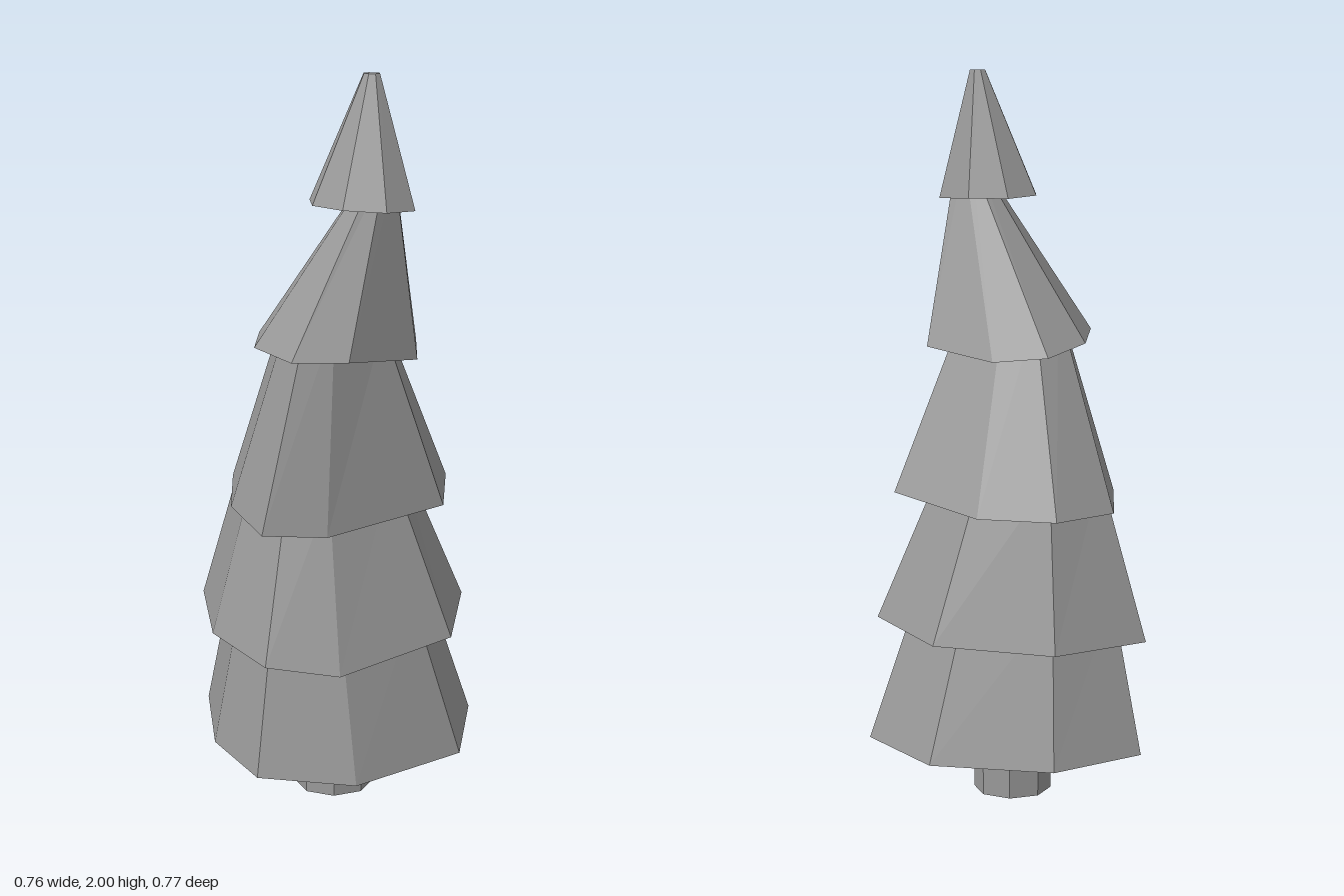
import * as THREE from 'three';

// Each tier: skirt corners [x, y, z] counter-clockwise from the front,
// and the extents [xMin, xMax, zMin, zMax] of its narrower upper ring.
const TIERS = [
  { skirt: [[-0.11, 0.145, 0.385], [0.23, 0.155, 0.312], [0.38, 0.175, 0.06], [0.29, 0.17, -0.215],
    [-0.01, 0.165, -0.365], [-0.28, 0.17, -0.31], [-0.38, 0.175, 0.025], [-0.35, 0.165, 0.275]],
    neck: [-0.3, 0.225, -0.255, 0.29] },
  { skirt: [[-0.145, 0.45, 0.357], [0.22, 0.48, 0.27], [0.357, 0.52, 0.05], [0.28, 0.5, -0.22],
    [-0.005, 0.49, -0.385], [-0.285, 0.49, -0.325], [-0.378, 0.49, 0.015], [-0.33, 0.48, 0.29]],
    neck: [-0.24, 0.17, -0.263, 0.2] },
  { skirt: [[-0.145, 0.81, 0.27], [0.22, 0.84, 0.21], [0.312, 0.87, 0.03], [0.163, 0.84, -0.24],
    [-0.02, 0.84, -0.352], [-0.205, 0.84, -0.285], [-0.315, 0.84, 0], [-0.31, 0.82, 0.22]],
    neck: [-0.172, 0.085, -0.09, 0.22] },
  { skirt: [[-0.09, 1.28, 0.285], [0.143, 1.25, 0.2], [0.217, 1.265, 0.03], [0.09, 1.24, -0.15],
    [-0.04, 1.255, -0.225], [-0.172, 1.28, -0.15], [-0.268, 1.29, 0.065], [-0.228, 1.28, 0.23]],
    neck: [0.03, 0.095, 0.12, 0.185] },
  { skirt: [[0.02, 1.66, 0.272], [0.115, 1.655, 0.24], [0.147, 1.655, 0.14], [0.097, 1.66, 0.035],
    [0, 1.66, -0.012], [-0.09, 1.665, 0.017], [-0.122, 1.665, 0.115], [-0.08, 1.665, 0.218]],
    neck: [0.023, 0.065, 0.097, 0.139] },
];

// Remap a skirt into its neck extents; the neck tucks up inside the next skirt.
function neckRing({ skirt, neck }, nextSkirt) {
  const fit = (axis, lo, hi) => {
    const v = skirt.map((p) => p[axis]);
    const min = Math.min(...v), max = Math.max(...v);
    return (n) => lo + ((n - min) / (max - min)) * (hi - lo);
  };
  const fx = fit(0, neck[0], neck[1]);
  const fz = fit(2, neck[2], neck[3]);
  return skirt.map(([x, , z], i) => [fx(x), nextSkirt ? nextSkirt[i][1] + 0.1 : 2, fz(z)]);
}

// Shrink a ring almost to its centre to close an end.
function closingRing(ring) {
  const c = [0, 1, 2].map((a) => ring.reduce((s, p) => s + p[a], 0) / ring.length);
  return ring.map((p) => p.map((v, a) => c[a] + (v - c[a]) * 0.02));
}

// Faceted surface through a list of rings.
function loft(rings) {
  const pos = [];
  for (let r = 0; r < rings.length - 1; r++) {
    const lo = rings[r], hi = rings[r + 1], n = lo.length;
    for (let i = 0; i < n; i++) {
      const j = (i + 1) % n;
      pos.push(...lo[i], ...lo[j], ...hi[j], ...lo[i], ...hi[j], ...hi[i]);
    }
  }
  const g = new THREE.BufferGeometry();
  g.setAttribute('position', new THREE.Float32BufferAttribute(pos, 3));
  g.computeVertexNormals();
  return g;
}

export function createModel() {
  const tree = new THREE.Group();
  tree.name = 'tree';
  const material = new THREE.MeshStandardMaterial({ color: 0x999999, flatShading: true });

  // Trunk
  const trunk = new THREE.Mesh(new THREE.CylinderGeometry(0.108, 0.108, 0.2, 8), material);
  trunk.name = 'trunk';
  trunk.position.set(-0.025, 0.1, 0.025);
  trunk.rotation.y = Math.PI / 8;
  tree.add(trunk);

  // Foliage tiers: hollow underside, sloping skirt, and closed tip on the last one
  let below = null;
  TIERS.forEach((tier, k) => {
    const top = neckRing(tier, TIERS[k + 1]?.skirt);
    const rings = [below ?? closingRing(tier.skirt), tier.skirt, top];
    if (k === TIERS.length - 1) rings.push(closingRing(top));
    const mesh = new THREE.Mesh(loft(rings), material);
    mesh.name = `foliageTier${k + 1}`;
    tree.add(mesh);
    below = top;
  });

  return tree;
}
